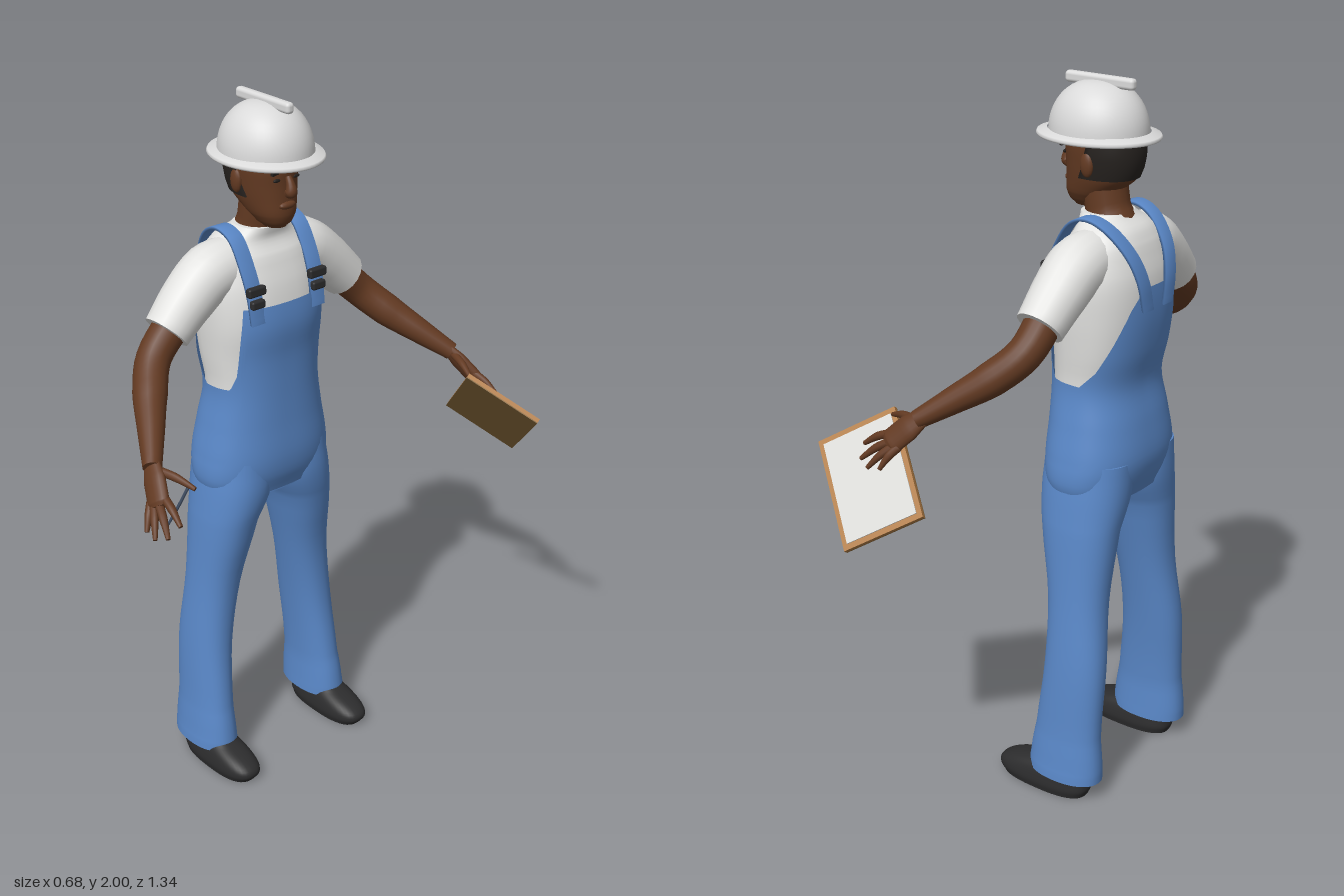
import * as THREE from 'three';
import { RoundedBoxGeometry } from 'three/addons/geometries/RoundedBoxGeometry.js';

const mat = (name, color, side = THREE.FrontSide) => {
  const m = new THREE.MeshStandardMaterial({ color, side });
  m.name = name;
  return m;
};
const V = (x, y, z) => new THREE.Vector3(x, y, z);

// Horizontal sections: [y, xBack, xFront, zCentre, halfWidth]
const BODY = [
  [0.89, -0.305, -0.09, 0, 0.19], [0.94, -0.322, -0.073, 0, 0.202], [1.0, -0.332, -0.066, 0, 0.197],
  [1.1, -0.32, -0.07, 0, 0.178], [1.2, -0.303, -0.072, 0, 0.162], [1.3, -0.322, -0.07, 0, 0.17],
  [1.4, -0.333, -0.06, 0, 0.178], [1.5, -0.33, -0.074, 0, 0.178], [1.58, -0.308, -0.1, 0, 0.155],
  [1.62, -0.285, -0.122, 0, 0.118], [1.655, -0.245, -0.118, 0, 0.072]];
const LEG = [
  [0.06, -0.328, -0.098, 0.212, 0.068], [0.1, -0.328, -0.1, 0.211, 0.065], [0.2, -0.32, -0.116, 0.207, 0.059],
  [0.4, -0.322, -0.136, 0.192, 0.063], [0.6, -0.306, -0.13, 0.165, 0.07], [0.8, -0.315, -0.09, 0.135, 0.086],
  [0.9, -0.326, -0.072, 0.106, 0.102], [1.0, -0.328, -0.075, 0.095, 0.098]];
const HEAD = [
  [1.66, -0.155, -0.085, 0, 0.028], [1.675, -0.18, -0.07, 0, 0.044], [1.7, -0.21, -0.062, 0, 0.06],
  [1.74, -0.258, -0.063, 0, 0.073], [1.78, -0.274, -0.064, 0, 0.08], [1.83, -0.278, -0.064, 0, 0.084],
  [1.9, -0.265, -0.08, 0, 0.078]];
const SHOE = [
  [0, -0.282, -0.005, 0.212, 0.056], [0.02, -0.29, 0.01, 0.212, 0.06], [0.04, -0.288, 0.005, 0.212, 0.058],
  [0.06, -0.284, -0.03, 0.212, 0.053], [0.08, -0.278, -0.09, 0.212, 0.045], [0.11, -0.27, -0.15, 0.212, 0.04]];

// Section of a table at height y, by cubic interpolation
function sectionAt(rows, y) {
  let i = 0;
  while (i < rows.length - 2 && y > rows[i + 1][0]) i++;
  const f = (y - rows[i][0]) / (rows[i + 1][0] - rows[i][0]);
  return rows[i].map((_, k) => {
    if (!k) return y;
    const p1 = rows[i][k], p2 = rows[i + 1][k];
    const p0 = i ? rows[i - 1][k] : p1, p3 = i < rows.length - 2 ? rows[i + 2][k] : p2;
    return p1 + 0.5 * f * (p2 - p0 + f * (2 * p0 - 5 * p1 + 4 * p2 - p3 + f * (3 * (p1 - p2) + p3 - p0)));
  });
}
// Point on a superelliptic section; angle 0 is the front
function onSurface(rows, y, a, off = 0, s = 1, n = 2.4) {
  const [, x0, x1, zc, hw] = sectionAt(rows, y);
  const c = Math.cos(a), d = Math.sin(a);
  return V((x0 + x1) / 2 + ((x1 - x0) / 2 + off) * Math.sign(c) * Math.abs(c) ** (2 / n), y,
    zc * s + (hw + off) * Math.sign(d) * Math.abs(d) ** (2 / n));
}
// Skin over closed rings of points, with optional flat caps
function skin(rings, caps = true) {
  const N = rings[0].length, pos = [], idx = [];
  rings.forEach(r => r.forEach(p => pos.push(p.x, p.y, p.z)));
  for (let j = 0; j < rings.length - 1; j++) for (let i = 0; i < N; i++) {
    const a = j * N + i, b = j * N + (i + 1) % N;
    idx.push(a, a + N, b, b, a + N, b + N);
  }
  if (caps) [rings[0], rings[rings.length - 1]].forEach((r, k) => {
    const base = pos.length / 3, c = V(0, 0, 0);
    r.forEach(p => { pos.push(p.x, p.y, p.z); c.addScaledVector(p, 1 / N); });
    pos.push(c.x, c.y, c.z);
    for (let i = 0; i < N; i++) {
      const a = base + i, b = base + (i + 1) % N;
      idx.push(base + N, k ? b : a, k ? a : b);
    }
  });
  const g = new THREE.BufferGeometry();
  g.setAttribute('position', new THREE.Float32BufferAttribute(pos, 3));
  g.setIndex(idx);
  g.computeVertexNormals();
  return g;
}
const ringOf = (N, fn) => Array.from({ length: N }, (_, i) => fn(i / N * Math.PI * 2));
function loft(rows, s = 1, n = 2.4, from = rows[0][0]) {
  const ys = [];
  rows.forEach((r, i) => {
    if (r[0] < from) return;
    const next = rows[i + 1];
    for (let k = 0; k < (next ? 4 : 1); k++) ys.push(next ? r[0] + (next[0] - r[0]) * k / 4 : r[0]);
  });
  return skin(ys.map(y => ringOf(40, a => onSurface(rows, y, a, 0, s, n))));
}
// Limb along [x, y, z, radius] stations; ref is the wide axis, flat squashes the other
function limb(stations, s, ref = V(1, 0, 0), flat = 1, N = 18) {
  const curve = new THREE.CatmullRomCurve3(stations.map(p => V(p[0], p[1], p[2] * s)));
  const steps = (stations.length - 1) * 5, rings = [];
  for (let j = 0; j <= steps; j++) {
    const q = j / 5, i = Math.min(Math.floor(q), stations.length - 2);
    const r = THREE.MathUtils.lerp(stations[i][3], stations[i + 1][3], q - i);
    const c = curve.getPoint(j / steps), t = curve.getTangent(j / steps);
    const u = ref.clone().addScaledVector(t, -ref.dot(t)).normalize(), v = u.clone().cross(t);
    rings.push(ringOf(N, a => c.clone().addScaledVector(u, r * Math.cos(a)).addScaledVector(v, r * flat * Math.sin(a))));
  }
  return skin(rings);
}
// Top edge of the overalls: [share of the way from front to back, height]
const EDGE = [[0, 1.46], [0.235, 1.46], [0.255, 1.4], [0.29, 1.27], [0.36, 1.22], [0.55, 1.215],
  [0.65, 1.26], [0.75, 1.34], [0.85, 1.43], [0.93, 1.48], [1, 1.48]];
function edgeHeight(a) {
  const q = Math.min(a, Math.PI * 2 - a) / Math.PI;
  let i = 0;
  while (i < EDGE.length - 2 && q > EDGE[i + 1][0]) i++;
  return THREE.MathUtils.mapLinear(q, EDGE[i][0], EDGE[i + 1][0], EDGE[i][1], EDGE[i + 1][1]);
}

export function createModel() {
  const skinTone = mat('skin', 0x633a22), shirt = mat('shirt', 0xe2e2e0), denimTwo = mat('denim', 0x5a88c8, THREE.DoubleSide);
  const white = mat('helmetWhite', 0xdadada), black = mat('shoeBlack', 0x2c2c2d), hair = mat('hair', 0x26221f);
  const wood = mat('wood', 0xb17c45), backing = mat('boardBacking', 0x86673a), paper = mat('paper', 0xd8d8d5), ink = mat('pen', 0x39475c);
  const model = new THREE.Group(), man = new THREE.Group();
  man.name = 'worker';
  man.position.z = 0.045;
  model.add(man);
  const add = (name, geo, material, p = [0, 0, 0], parent = man) => {
    const m = new THREE.Mesh(geo, material);
    m.name = name;
    m.position.set(...p);
    parent.add(m);
    return m;
  };

  // Torso and overalls
  add('shirtBody', loft(BODY, 1, 2.4, 1.2), shirt);
  const bibRings = [];
  for (let j = 0; j <= 30; j++) bibRings.push(ringOf(120, a =>
    onSurface(BODY, THREE.MathUtils.lerp(0.89, edgeHeight(a), j / 30), a, 0.007)));
  add('overallsBody', skin(bibRings, false), denimTwo);
  add('crotch', skin([0.88, 0.93].map(y => ringOf(32, a => V(-0.197 + 0.105 * Math.cos(a), y, 0.19 * Math.sin(a))))), denimTwo);

  // Head
  add('neck', limb([[-0.2, 1.6, 0, 0.072], [-0.182, 1.66, 0, 0.06], [-0.17, 1.73, 0, 0.06]], 1), skinTone);
  add('head', loft(HEAD, 1, 2.2), skinTone);
  const hairRings = [1.745, 1.77, 1.8, 1.83, 1.87].map((y, j) => Array.from({ length: 31 }, (_, i) => {
    const h = 1.75 - j * 0.06;
    return onSurface(HEAD, y, Math.PI + (i / 15 - 1) * h, 0.005, 1, 2.2);
  }));
  add('hair', skin(hairRings, false), hair);
  add('nose', limb([[-0.062, 1.805, 0, 0.008], [-0.052, 1.785, 0, 0.012], [-0.05, 1.766, 0, 0.017], [-0.062, 1.757, 0, 0.012]], 1, V(0, 0, 1)), skinTone);
  add('mouth', new THREE.SphereGeometry(1, 16, 10), skinTone, [-0.066, 1.727, 0]).scale.set(0.012, 0.011, 0.027);

  // Hard hat
  const hat = new THREE.Group();
  hat.name = 'hardHat';
  hat.position.x = -0.15;
  man.add(hat);
  const dome = [new THREE.Vector2(0, 1.862), new THREE.Vector2(0.93, 1.862), new THREE.Vector2(1, 1.852)];
  for (let i = 0; i <= 12; i++) {
    const a = i / 12 * Math.PI / 2;
    dome.push(new THREE.Vector2(Math.cos(a) ** 0.85, 1.855 + 0.132 * Math.sin(a)));
  }
  add('dome', new THREE.LatheGeometry(dome, 48), white, [0, 0, 0], hat).scale.set(0.136, 1, 0.122);
  const brim = [[0.8, 1.854], [0.82, 1.848], [0.98, 1.843], [1, 1.848], [0.98, 1.854], [0.82, 1.862]].map(p => new THREE.Vector2(...p));
  add('brim', new THREE.LatheGeometry(brim, 48), white, [0, 0, 0], hat).scale.set(0.173, 1, 0.143);
  add('ridge', new RoundedBoxGeometry(0.213, 0.03, 0.025, 3, 0.01), white, [-0.003, 1.985, 0], hat);

  for (const s of [1, -1]) {
    const side = s > 0 ? 'A' : 'B';
    const named = n => n + side;
    // Legs and shoes
    add(named('trouserLeg'), loft(LEG, s, 2.2), denimTwo);
    add(named('shoe'), loft(SHOE, s, 2.6), black);

    // Sleeve, arm and hand
    add(named('sleeve'), limb([[-0.2, 1.55, 0.07, 0.078], [-0.2, 1.538, 0.16, 0.08], [-0.198, 1.485, 0.235, 0.074], [-0.193, 1.415, 0.31, 0.065]], s), shirt);
    add(named('arm'), limb([[-0.195, 1.45, 0.27, 0.05], [-0.185, 1.36, 0.36, 0.047], [-0.125, 1.295, 0.42, 0.046],
      [-0.05, 1.24, 0.475, 0.036], [0.03, 1.183, 0.533, 0.025]], s), skinTone);
    add(named('palm'), limb([[0.015, 1.193, 0.525, 0.025], [0.05, 1.16, 0.542, 0.036], [0.092, 1.118, 0.563, 0.036], [0.1, 1.11, 0.568, 0.025]],
      s, V(0.8, 0.6, -0.3 * s), 0.5), skinTone);
    const fingers = [[[0.1, 1.135, 0.552], [0.185, 1.09, 0.565]], [[0.09, 1.12, 0.562], [0.172, 1.06, 0.595]],
      [[0.078, 1.11, 0.567], [0.137, 1.048, 0.61]], [[0.065, 1.11, 0.567], [0.098, 1.053, 0.607]],
      [[0.04, 1.18, 0.53], [0.15, 1.155, 0.49]]];
    fingers.forEach(([a, b], i) => {
      const mid = a.map((v, k) => (v + b[k]) / 2 + (k === 1 ? 0.006 : 0));
      add(named(i < 4 ? 'finger' : 'thumb'), limb([[...a, 0.012], [...mid, 0.011], [...b, 0.006]], s, V(0, 1, 0), 1, 10), skinTone);
    });

    // Shoulder strap, a ribbon laid over the shirt
    const onShirt = (y, z, back) => {
      const [, x0, x1, , hw] = sectionAt(BODY, y);
      const k = Math.max(0, 1 - (z / hw) ** 2.4) ** (1 / 2.4);
      return V((x0 + x1) / 2 + (back ? -1 : 1) * ((x1 - x0) / 2 * k + 0.012), y, z * s);
    };
    const path = new THREE.CatmullRomCurve3([onShirt(1.42, 0.104), onShirt(1.5, 0.106), onShirt(1.57, 0.108),
      V(-0.15, 1.638, 0.108 * s), V(-0.2, 1.655, 0.108 * s), V(-0.255, 1.635, 0.102 * s),
      onShirt(1.57, 0.082, true), onShirt(1.5, 0.062, true), onShirt(1.42, 0.045, true)]);
    const ribbon = path.getPoints(40).map(p => [[0.004, -0.023], [0.004, 0.023], [-0.004, 0.023], [-0.004, -0.023]].map(([d, w]) => {
      const out = V(p.x + 0.2, p.y - 1.5, 0).normalize();
      return p.clone().addScaledVector(out, d).add(V(0, 0, w));
    }));
    add(named('strap'), skin(ribbon), denimTwo);
    // Buckle
    const b = onShirt(1.49, 0.105);
    add(named('buckleTop'), new RoundedBoxGeometry(0.02, 0.026, 0.058, 2, 0.006), black, [b.x + 0.006, 1.512, b.z]);
    add(named('buckleBottom'), new RoundedBoxGeometry(0.02, 0.024, 0.044, 2, 0.006), black, [b.x + 0.01, 1.477, b.z]);

    // Ear, eye and brow
    add(named('ear'), new THREE.SphereGeometry(1, 14, 10), skinTone, [-0.172, 1.785, 0.083 * s]).scale.set(0.02, 0.033, 0.012);
    const face = (y, a) => onSurface(HEAD, y, a * s, 0.001, 1, 2.2);
    const e = face(1.798, 0.36), w = face(1.818, 0.38);
    add(named('eye'), new THREE.SphereGeometry(1, 12, 8), hair, [e.x, e.y, e.z]).scale.set(0.004, 0.005, 0.012);
    add(named('brow'), new THREE.BoxGeometry(0.008, 0.007, 0.035), hair, [w.x, w.y, w.z]).rotation.y = 0.25 * s;
  }

  // Clipboard under one hand
  const board = new THREE.Group();
  board.name = 'clipboard';
  const across = V(0.18, -0.111, -0.105).normalize();
  const along = V(0.213, 0.204, 0.131);
  along.addScaledVector(across, -along.dot(across)).normalize();
  board.setRotationFromMatrix(new THREE.Matrix4().makeBasis(across, along, across.clone().cross(along)));
  board.position.set(0.141, 1.01, -0.595);
  man.add(board);
  add('boardCore', new THREE.BoxGeometry(0.236, 0.323, 0.012), wood, [0, 0, 0], board);
  add('boardBack', new THREE.BoxGeometry(0.236, 0.323, 0.003), backing, [0, 0, 0.0075], board);
  add('paperSheet', new THREE.BoxGeometry(0.208, 0.292, 0.003), paper, [0, 0, -0.0075], board);

  // Pen in the other hand
  add('pen', limb([[0.13, 1.155, 0.497, 0.004], [0.12, 1.1, 0.527, 0.004], [0.11, 1.05, 0.557, 0.003]], 1, V(1, 0, 0), 1, 8), ink);
  return model;
}
